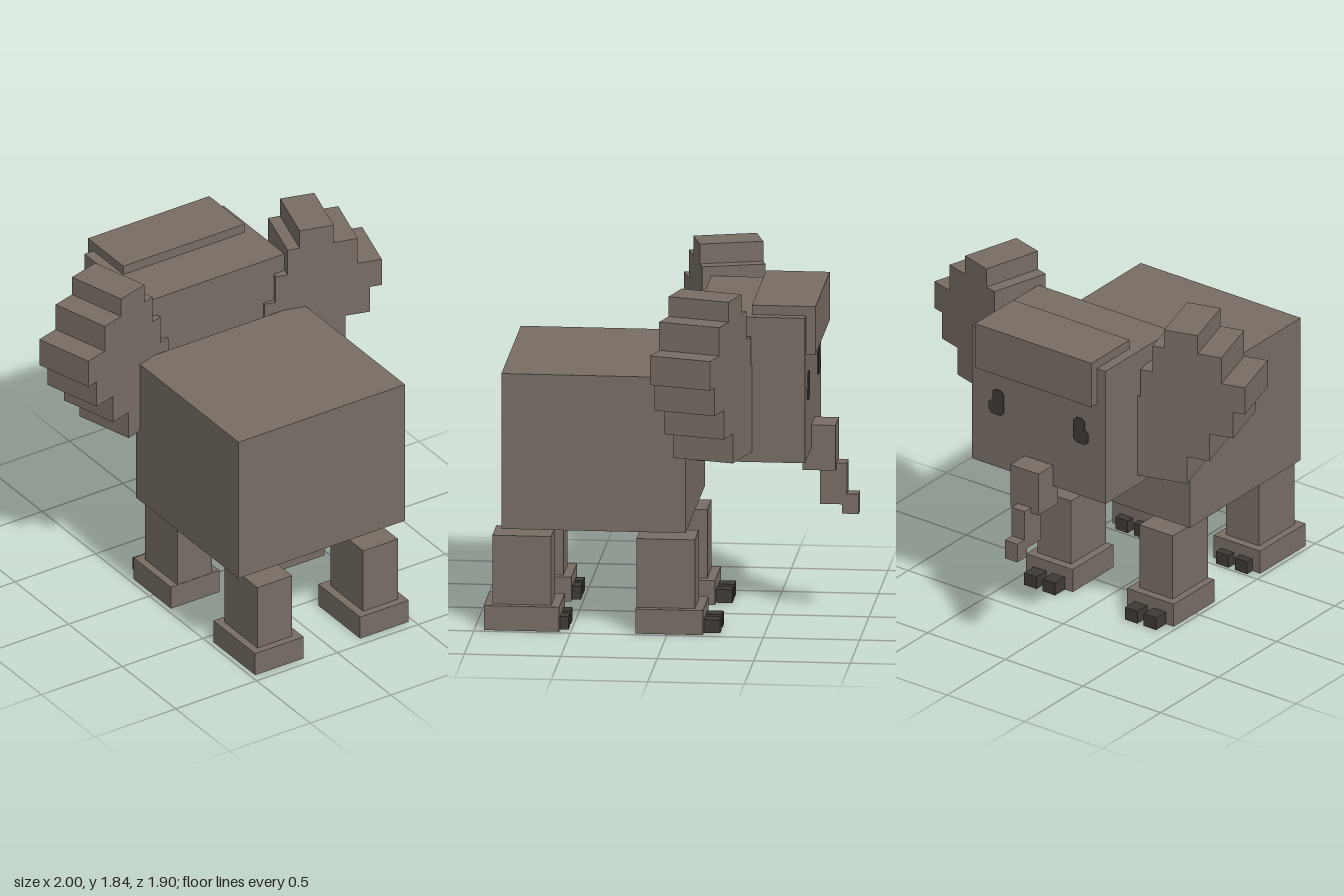
import * as THREE from 'three';

const hide = new THREE.MeshStandardMaterial({ color: 0x776d64 });
hide.name = 'hide';
const dark = new THREE.MeshStandardMaterial({ color: 0x3e3a35 });
dark.name = 'dark';

// Box given by its minimum and maximum on each axis
function block(parent, name, material, [x0, x1], [y0, y1], [z0, z1]) {
  const mesh = new THREE.Mesh(new THREE.BoxGeometry(x1 - x0, y1 - y0, z1 - z0), material);
  mesh.position.set((x0 + x1) / 2, (y0 + y1) / 2, (z0 + z1) / 2);
  mesh.name = name;
  parent.add(mesh);
}

// Range on the left (+1) or right (-1) side
const side = (s, a, b) => (s > 0 ? [a, b] : [-b, -a]);

function outline(points, s, depth) {
  const shape = new THREE.Shape(points.map(([x, y]) => new THREE.Vector2(s * x, y)));
  return new THREE.ExtrudeGeometry(shape, { depth, bevelEnabled: false });
}

// Stepped ear: inner and outer reach of each row, from the bottom up
function ear(s) {
  const levels = [0.97, 1.125, 1.28, 1.43, 1.585, 1.735, 1.84];
  const rows = [[0.44, 0.72], [0.405, 0.845], [0.405, 0.975], [0.465, 1.04], [0.53, 0.91], [0.595, 0.78]];
  const outer = [], inner = [];
  rows.forEach(([a, b], i) => {
    outer.push([b, levels[i]], [b, levels[i + 1]]);
    inner.unshift([a, levels[i + 1]], [a, levels[i]]);
  });
  const mesh = new THREE.Mesh(outline([...outer, ...inner], s, 0.333), hide);
  mesh.rotation.y = -s * THREE.MathUtils.degToRad(16);
  mesh.position.z = -0.56;
  mesh.name = s > 0 ? 'leftEar' : 'rightEar';
  return mesh;
}

// Thin eye plate with a low step on the outer edge
function eye(s) {
  const points = [[0.225, 1.24], [0.245, 1.22], [0.30, 1.22], [0.32, 1.24], [0.32, 1.285],
    [0.295, 1.305], [0.295, 1.35], [0.275, 1.365], [0.245, 1.365], [0.225, 1.345]];
  const mesh = new THREE.Mesh(outline(points, s, 0.008), dark);
  mesh.position.z = -0.716;
  mesh.name = s > 0 ? 'leftEye' : 'rightEye';
  return mesh;
}

// Leg with a wide foot and two toes
function leg(s, name, shin, foot, toe) {
  const group = new THREE.Group();
  group.name = name;
  block(group, 'shin', hide, side(s, 0.22, 0.435), [0.13, 0.495], shin);
  block(group, 'foot', hide, side(s, 0.175, 0.475), [0, 0.13], foot);
  for (const x of [0.225, 0.345]) block(group, 'toe', dark, side(s, x, x + 0.08), [0, 0.07], toe);
  return group;
}

export function createModel() {
  const model = new THREE.Group();
  model.name = 'elephant';

  block(model, 'body', hide, [-0.515, 0.515], [0.55, 1.375], [-0.10, 0.855]);
  block(model, 'neck', hide, [-0.35, 0.35], [0.97, 1.3], [-0.235, 0]);
  block(model, 'head', hide, [-0.43, 0.43], [0.915, 1.685], [-0.71, -0.14]);
  block(model, 'brow', hide, [-0.375, 0.375], [1.48, 1.735], [-0.76, -0.43]);

  // Trunk, stepping down and forward
  block(model, 'trunkBase', hide, [-0.09, 0.09], [0.795, 1.035], [-0.835, -0.665]);
  block(model, 'trunkMiddle', hide, [-0.042, 0.042], [0.605, 0.825], [-0.89, -0.75]);
  block(model, 'trunkTip', hide, [-0.04, 0.04], [0.555, 0.66], [-0.95, -0.865]);

  for (const s of [1, -1]) {
    model.add(ear(s), eye(s));
    model.add(leg(s, 'frontLeg', [-0.14, 0.163], [-0.185, 0.165], [-0.27, -0.185]));
    model.add(leg(s, 'backLeg', [0.605, 0.91], [0.56, 0.95], [0.515, 0.56]));
  }
  return model;
}
